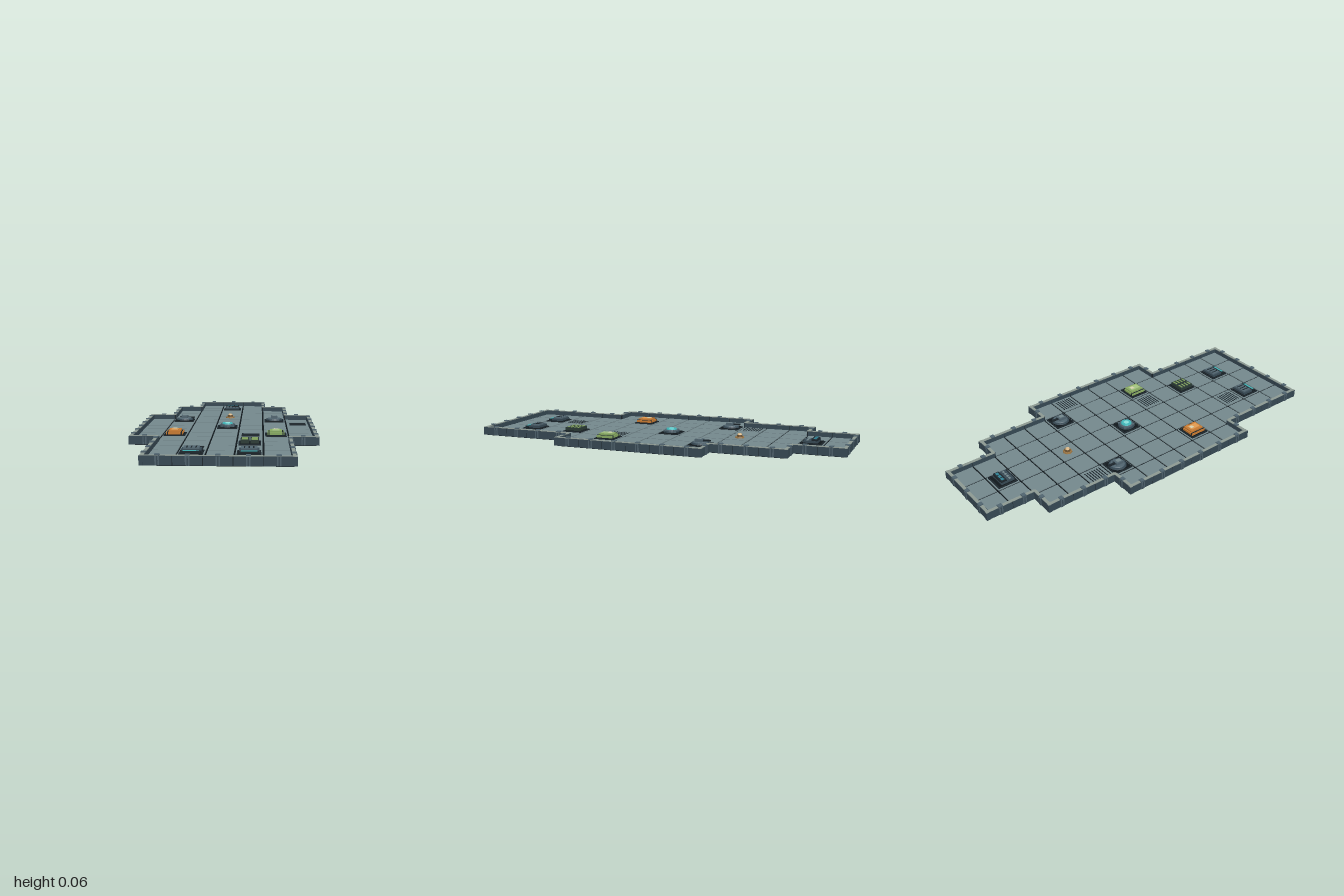
import * as THREE from 'three';

const CELL = 0.1312;   // deck tile pitch
const FLOOR = 0.022;   // top of the deck tiles

const mats = {};
function mat(color) {
  return (mats[color] ??= new THREE.MeshStandardMaterial({ color, flatShading: true }));
}
const BLACK = 0x10171b, DARK = 0x1b252b, HULL = 0x364853, RIB = 0x4d606b, DECK = 0x73878c,
  RAIL = 0x8c9891, STEEL = 0x50646f, TEAL = 0x3fb5b8, GREEN = 0x86a860, ORANGE = 0xc87a30, GOLD = 0x9a7442;

// Box standing on y
function box(parent, name, w, h, d, x, y, z, color) {
  const m = new THREE.Mesh(new THREE.BoxGeometry(w, h, d), mat(color));
  m.name = name;
  m.position.set(x, y + h / 2, z);
  parent.add(m);
  return m;
}

// Upright cylinder standing on y
function disc(parent, name, r0, r1, h, x, y, z, color, sides = 16) {
  const m = new THREE.Mesh(new THREE.CylinderGeometry(r1, r0, h, sides), mat(color));
  m.name = name;
  m.position.set(x, y + h / 2, z);
  parent.add(m);
  return m;
}

// Columns on each side of the keel for a given row
function halfWidth(row) {
  if (row < -7 || row > 7) return -1;
  if (row <= -6) return 1;
  if (row <= -3) return 2;
  return row <= 3 ? 3 : 2;
}
const inside = (c, r) => Math.abs(c) <= halfWidth(r);

// One cell-long length of bulwark, outward along local +z
function wallSegment() {
  const g = new THREE.Group();
  g.name = 'wallSegment';
  const z = CELL / 2;
  box(g, 'wallCore', CELL, 0.042, 0.014, 0, 0.003, z + 0.002, DARK);
  box(g, 'wallPanel', CELL - 0.003, 0.042, 0.019, 0, 0.004, z + 0.002, HULL);
  box(g, 'wallRail', CELL, 0.003, 0.016, 0, 0.0455, z + 0.002, RAIL);
  box(g, 'wallRib', 0.02, 0.041, 0.005, 0, 0.004, z + 0.012, RIB);
  box(g, 'wallRibGroove', 0.006, 0.041, 0.0055, 0, 0.004, z + 0.0122, HULL);
  box(g, 'railClip', 0.022, 0.005, 0.022, 0, 0.0485, z + 0.002, STEEL);
  return g;
}

// Dark mounting plate with a raised border, placed on a tile
function mount(parent, name, c, r) {
  const g = new THREE.Group();
  g.name = name;
  g.position.set(c * CELL, FLOOR, r * CELL);
  box(g, 'mountPlate', 0.11, 0.005, 0.11, 0, 0, 0, DARK);
  box(g, 'mountInset', 0.096, 0.002, 0.096, 0, 0.005, 0, BLACK);
  parent.add(g);
  return g;
}

function turret(parent, c, r) {
  const g = mount(parent, 'turret', c, r);
  disc(g, 'turretRing', 0.048, 0.045, 0.007, 0, 0.007, 0, HULL, 20);
  disc(g, 'turretDeck', 0.039, 0.036, 0.004, 0, 0.014, 0, STEEL, 20);
  box(g, 'turretHead', 0.036, 0.014, 0.042, 0, 0.018, 0.004, STEEL);
  box(g, 'turretHatch', 0.022, 0.002, 0.026, 0, 0.032, 0.006, DECK);
  box(g, 'turretBarrel', 0.011, 0.008, 0.04, 0, 0.021, -0.034, DARK);
}

function crate(parent, name, c, r, color, light) {
  const g = mount(parent, name, c, r);
  box(g, 'crateBody', 0.086, 0.013, 0.092, 0, 0.006, 0, color);
  box(g, 'crateLid', 0.062, 0.008, 0.08, 0, 0.019, 0, color);
  box(g, 'crateTop', 0.036, 0.004, 0.06, 0, 0.027, 0, light);
  box(g, 'crateLatch', 0.02, 0.0015, 0.02, 0, 0.031, -0.014, 0xd8d2b0);
  for (const s of [-1, 1]) box(g, 'crateStrap', 0.006, 0.0155, 0.094, s * 0.036, 0.005, 0, DARK);
}

function engine(parent, c, r) {
  const g = mount(parent, 'engine', c, r);
  box(g, 'engineBody', 0.092, 0.013, 0.066, 0, 0.006, -0.012, HULL);
  box(g, 'engineHood', 0.074, 0.007, 0.052, 0, 0.019, -0.014, STEEL);
  for (const x of [-0.021, 0, 0.021]) box(g, 'engineSlot', 0.006, 0.0015, 0.042, x, 0.026, -0.014, DARK);
  box(g, 'engineNozzle', 0.09, 0.009, 0.016, 0, 0.006, 0.036, DARK);
  box(g, 'engineGlow', 0.074, 0.004, 0.009, 0, 0.0135, 0.037, TEAL);
}

function console_(parent, c, r) {
  const g = mount(parent, 'console', c, r);
  box(g, 'consoleBody', 0.088, 0.012, 0.074, 0, 0.006, 0.004, HULL);
  box(g, 'consoleScreenFrame', 0.082, 0.009, 0.032, 0, 0.018, -0.016, DARK);
  for (const x of [-0.025, 0, 0.025]) box(g, 'consoleScreen', 0.019, 0.0015, 0.016, x, 0.027, -0.016, 0x2f7f92);
  for (let i = 0; i < 4; i++) box(g, 'consoleKey', 0.012, 0.003, 0.011, (i - 1.5) * 0.02, 0.018, 0.022, DECK);
}

function reactor(parent, c, r) {
  const g = mount(parent, 'reactor', c, r);
  disc(g, 'reactorBase', 0.046, 0.044, 0.009, 0, 0.006, 0, HULL, 20);
  disc(g, 'reactorCollar', 0.038, 0.036, 0.006, 0, 0.015, 0, STEEL, 20);
  disc(g, 'reactorCore', 0.03, 0.027, 0.006, 0, 0.021, 0, TEAL, 20);
  disc(g, 'reactorLens', 0.015, 0.012, 0.002, 0, 0.027, 0, 0x86dcd8, 16);
  for (let i = 0; i < 4; i++) {
    const a = Math.PI / 4 + i * Math.PI / 2;
    box(g, 'reactorClamp', 0.012, 0.014, 0.012, 0.04 * Math.cos(a), 0.006, 0.04 * Math.sin(a), STEEL).rotation.y = -a;
  }
}

function powerRack(parent, c, r) {
  const g = mount(parent, 'powerRack', c, r);
  for (const s of [-1, 1]) {
    box(g, 'rackBank', 0.042, 0.018, 0.088, s * 0.024, 0.006, 0, 0x2a3a35);
    for (let i = 0; i < 4; i++) box(g, 'rackLight', 0.03, 0.003, 0.007, s * 0.024, 0.024, (i - 1.5) * 0.021, GREEN);
  }
}

function beacon(parent, c, r) {
  const g = new THREE.Group();
  g.name = 'beacon';
  g.position.set(c * CELL, FLOOR, r * CELL);
  disc(g, 'beaconFoot', 0.026, 0.024, 0.007, 0, 0, 0, GOLD, 8);
  disc(g, 'beaconStem', 0.017, 0.015, 0.01, 0, 0.007, 0, 0x6b5130, 8);
  disc(g, 'beaconCap', 0.013, 0.009, 0.007, 0, 0.017, 0, 0xd8b888, 8);
  parent.add(g);
}

function grate(parent, c, r) {
  for (let i = 0; i < 7; i++)
    box(parent, 'grateSlot', 0.092, 0.0015, 0.005, c * CELL, FLOOR, r * CELL + (i - 3) * 0.0145, DARK);
}

export function createModel() {
  const model = new THREE.Group();
  model.name = 'shipDeck';

  // Hull floor, one slab per run of equal rows: first row, last row
  for (const [a, b] of [[-7, -6], [-5, -3], [-2, 3], [4, 7]]) {
    const w = (2 * halfWidth(a) + 1) * CELL;
    box(model, 'hullBase', w, 0.017, (b - a + 1) * CELL, 0, 0, (a + b) / 2 * CELL, BLACK);
  }

  // Deck tiles, and bulwark wherever a tile has no neighbour
  const segment = wallSegment();
  for (let r = -7; r <= 7; r++) {
    for (let c = -halfWidth(r); c <= halfWidth(r); c++) {
      box(model, 'deckTile', CELL - 0.009, 0.009, CELL - 0.009, c * CELL, FLOOR - 0.009, r * CELL, DECK);
      [[0, 1], [1, 0], [0, -1], [-1, 0]].forEach(([dc, dr], i) => {
        if (inside(c + dc, r + dr)) return;
        const s = segment.clone();
        s.position.set(c * CELL, 0, r * CELL);
        s.rotation.y = i * Math.PI / 2;
        model.add(s);
      });
      // Posts at the outer corners
      for (const dc of [-1, 1]) for (const dr of [-1, 1]) {
        if (inside(c + dc, r) || inside(c, r + dr)) continue;
        const x = (c + dc / 2) * CELL + dc * 0.004, z = (r + dr / 2) * CELL + dr * 0.004;
        box(model, 'cornerPost', 0.019, 0.042, 0.019, x, 0.004, z, HULL);
        box(model, 'cornerCap', 0.016, 0.003, 0.016, x, 0.0456, z, RAIL);
      }
    }
  }

  // Deck fittings: column, row
  console_(model, 0, -6);
  beacon(model, 0, -3);
  reactor(model, 0, 0);
  powerRack(model, 1, 4);
  crate(model, 'orangeCrate', -2, 2, ORANGE, 0xe09a50);
  crate(model, 'greenCrate', 2, 2, GREEN, 0xa4c480);
  for (const s of [-1, 1]) {
    turret(model, 2 * s, -2);
    engine(model, s, 6);
  }
  for (const [c, r] of [[-2, -3], [3, -1], [1, 2], [-1, 5]]) grate(model, c, r);

  return model;
}
